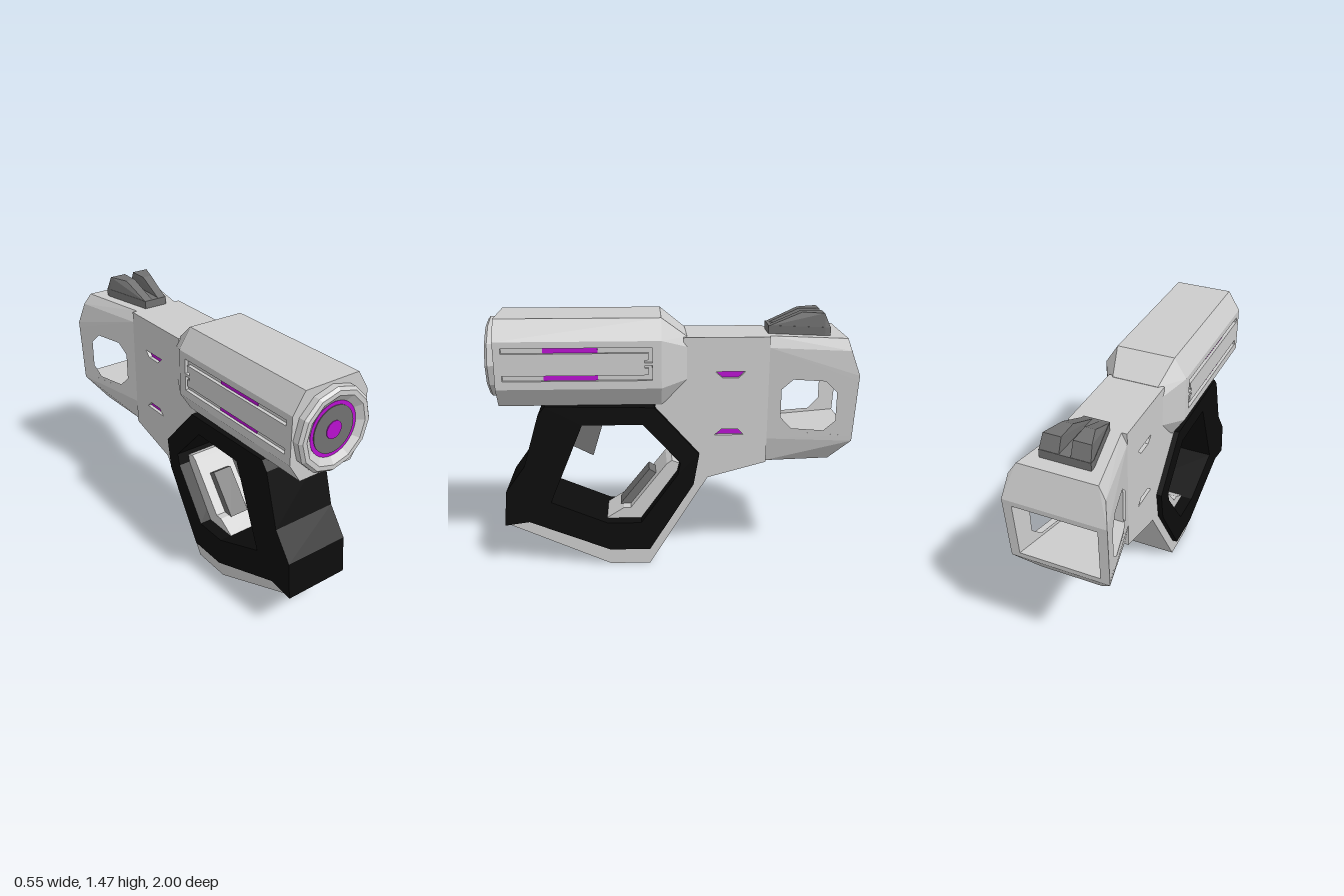
import * as THREE from 'three';
import { ConvexGeometry } from 'three/addons/geometries/ConvexGeometry.js';

const mat = (name, color) => Object.assign(new THREE.MeshStandardMaterial({ color }), { name });

export function createModel() {
  const light = mat('light grey shell', 0xcccccc);
  const grey = mat('mid grey', 0x707070);
  const black = mat('black grip', 0x0c0c0c);
  const magenta = mat('magenta glow', 0xb810d0);
  const model = new THREE.Group();

  const add = (name, geometry, material) => {
    const mesh = new THREE.Mesh(geometry, material);
    mesh.name = name;
    model.add(mesh);
    return mesh;
  };
  const toShape = (pts, holes = []) => {
    const v = (list) => list.map((p) => new THREE.Vector2(...p));
    const s = new THREE.Shape(v(pts));
    for (const h of holes) s.holes.push(new THREE.Path(v(h)));
    return s;
  };
  // Side profile given as [z, y], extruded between x0 and x1
  const side = (pts, x0, x1, holes) => {
    const g = new THREE.ExtrudeGeometry(toShape(pts, holes), { depth: x1 - x0, bevelEnabled: false });
    return g.rotateY(-Math.PI / 2).translate(x1, 0, 0);
  };
  const hull = (pts) => new ConvexGeometry(pts.map((p) => new THREE.Vector3(...p)));
  const bothSides = (pts) => pts.flatMap(([x, y, z]) => [[x, y, z], [-x, y, z]]);
  const rect = (z0, z1, y0, y1) => [[z0, y0], [z1, y0], [z1, y1], [z0, y1]];
  // Panel lying on either flank, from x = inner to x = outer
  const flank = (s, pts, inner, outer, holes) =>
    s > 0 ? side(pts, inner, outer, holes) : side(pts, -outer, -inner, holes);

  // Barrel core, with shallow channels on the flanks for the slotted panels
  const half = [[0.165, 0.98], [0.235, 1.09], [0.215, 1.09], [0.215, 1.35], [0.235, 1.35], [0.165, 1.46]];
  const section = [...half, ...half.map(([x, y]) => [-x, y]).reverse()];
  add('barrel', new THREE.ExtrudeGeometry(toShape(section), { depth: 0.89, bevelEnabled: false })
    .translate(0, 0, 0.06), light);
  add('barrelTaper', hull(bothSides([
    [0.165, 0.98, 0.06], [0.235, 1.09, 0.06], [0.235, 1.35, 0.06], [0.165, 1.46, 0.06],
    [0.13, 1.08, -0.08], [0.16, 1.12, -0.08], [0.16, 1.3, -0.08], [0.13, 1.352, -0.08],
  ])), light);

  // Slotted barrel panels
  const slot = [[0.91, 1.315], [0.11, 1.315], [0.11, 1.232], [0.15, 1.232], [0.15, 1.247],
    [0.13, 1.247], [0.13, 1.285], [0.91, 1.285]];
  const flip = (pts) => pts.map(([z, y]) => [z, 2.45 - y]);
  const glowStrip = rect(0.4, 0.69, 1.286, 1.314);

  // Vents on the body
  const ventTop = [[-0.235, 1.16], [-0.4, 1.16], [-0.365, 1.125], [-0.275, 1.125]];
  const ventLow = [[-0.235, 0.795], [-0.4, 0.795], [-0.365, 0.83], [-0.275, 0.83]];

  // Body and spine running down behind the grip
  const body = [[-0.06, 1.35], [-0.53, 1.35], [-0.53, 0.63], [-0.2, 0.54], [0.13, 0], [0.36, 0],
    [0.95, 0.268], [0.8, 0.31], [0.37, 0.14], [0.15, 0.14], [-0.09, 0.52], [-0.1, 0.66],
    [0.1, 0.92], [0.08, 1.1], [-0.06, 1.1]];
  add('body', side(body, -0.135, 0.135), light);

  // Rear window and flared walls
  const windowHole = [[-0.6, 0.9], [-0.66, 0.84], [-0.83, 0.84], [-0.89, 0.9], [-0.89, 1.06],
    [-0.83, 1.12], [-0.66, 1.12], [-0.6, 1.06]];
  const wall = [[-0.53, 0.82], [-0.982, 0.82], [-0.998, 1.13], [-0.53, 1.13]];

  for (const s of [1, -1]) {
    const tag = s > 0 ? 'left' : 'right';
    add(tag + 'BarrelPanel', flank(s, rect(0.06, 0.95, 1.09, 1.35), 0.215, 0.235, [slot, flip(slot)]), light);
    for (const strip of [glowStrip, flip(glowStrip)])
      add(tag + 'BarrelGlow', flank(s, strip, 0.214, 0.22), magenta);
    add(tag + 'BodySkin', flank(s, body, 0.135, 0.16, [ventTop, ventLow]), light);
    for (const vent of [ventTop, ventLow])
      add(tag + 'VentGlow', flank(s, vent, 0.134, 0.14), magenta);

    // Shear the wall outward toward the back
    const g = flank(s, wall, -0.05, 0, [windowHole]);
    const p = g.attributes.position;
    for (let i = 0; i < p.count; i++)
      p.setX(i, p.getX(i) + s * (0.16 + (-0.53 - p.getZ(i)) * 0.245));
    g.computeVertexNormals();
    add(tag + 'RearWall', g, light);
  }

  // Rear housing: roof, floor and front bulkhead
  add('rearRoof', hull(bothSides([
    [0.16, 1.13, -0.53], [0.16, 1.29, -0.53], [0.13, 1.35, -0.53],
    [0.275, 1.13, -0.998], [0.275, 1.16, -1], [0.25, 1.29, -0.955], [0.21, 1.35, -0.94],
  ])), light);
  add('rearFloor', hull(bothSides([
    [0.16, 0.82, -0.53], [0.16, 0.77, -0.53], [0.135, 0.63, -0.53],
    [0.271, 0.82, -0.982], [0.27, 0.79, -0.98], [0.17, 0.655, -0.88],
  ])), light);
  add('rearBulkhead', side(rect(-0.53, -0.57, 0.82, 1.13), -0.15, 0.15), light);

  // Black grip loop
  add('gripLoop', side([
    [0.7, 0.98], [0.1, 0.968], [-0.15, 0.69], [-0.12, 0.51], [0.13, 0.105], [0.36, 0.105],
    [0.82, 0.29], [0.96, 0.27], [0.94, 0.48], [0.83, 0.63], [0.74, 0.93],
  ], -0.19, 0.19, [[
    [0.5, 0.87], [0.165, 0.87], [-0.045, 0.64], [-0.03, 0.57], [0.18, 0.275], [0.37, 0.275], [0.69, 0.41],
  ]]), black);

  // Inner liner, pad and trigger
  add('gripLiner', side([[0.39, 0.27], [0.28, 0.34], [0.24, 0.34], [0.03, 0.61], [0, 0.63],
    [-0.05, 0.61], [-0.05, 0.56], [0.17, 0.265]], -0.12, 0.12), light);
  add('gripPad', side([[0.3, 0.34], [0.13, 0.555], [0.09, 0.53], [0.24, 0.335]], -0.06, 0.06), grey);
  add('trigger', side([[0.53, 0.89], [0.375, 0.89], [0.45, 0.645], [0.565, 0.705]], -0.06, 0.06), grey);

  // Muzzle ring with recessed lens
  const profile = [[0.225, 0.94], [0.225, 0.985], [0.21, 1], [0.185, 1], [0.145, 0.972], [0.12, 0.96]];
  const ring = new THREE.LatheGeometry(profile.map((q) => new THREE.Vector2(...q)), 12)
    .rotateX(Math.PI / 2).toNonIndexed();
  ring.computeVertexNormals();
  add('muzzleRing', ring, light).position.y = 1.22;
  const disc = (name, r, z, material) => {
    const g = new THREE.CylinderGeometry(r, r, 0.008, 48).rotateX(Math.PI / 2);
    add(name, g, material).position.set(0, 1.22, z);
  };
  disc('lensRim', 0.145, 0.972, magenta);
  disc('lens', 0.125, 0.976, grey);
  disc('lensCore', 0.047, 0.98, magenta);

  // Rear sight: wedge base and two fins
  add('sightBase', hull(bothSides([1.345, 1.395].flatMap((y) =>
    [[0.07, y, -0.53], [0.135, y, -0.83], [0.135, y, -0.86]]))), grey);
  for (const s of [1, -1]) {
    add(s > 0 ? 'leftSightFin' : 'rightSightFin', hull([
      [0.02, 1.39, -0.53], [0.068, 1.39, -0.53], [0.134, 1.39, -0.83], [0.134, 1.39, -0.86], [0.03, 1.39, -0.86],
      [0.03, 1.47, -0.71], [0.085, 1.47, -0.71], [0.125, 1.47, -0.825], [0.03, 1.47, -0.825],
    ].map(([x, y, z]) => [s * x, y, z])), grey);
  }
  return model;
}
